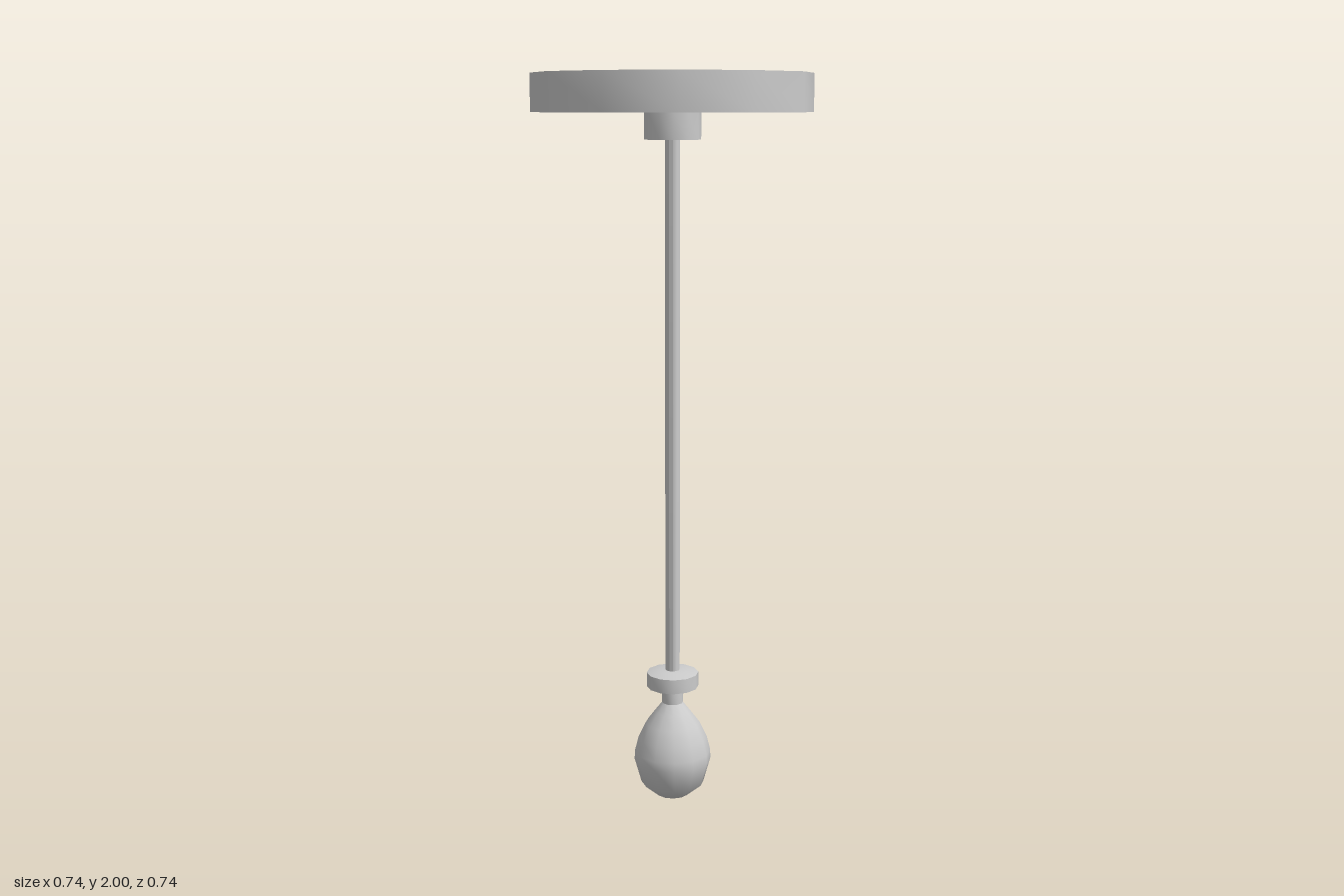
import * as THREE from 'three';
import { toCreasedNormals } from 'three/addons/utils/BufferGeometryUtils.js';

const SIDES = 12;

export function createModel() {
  const group = new THREE.Group();
  const material = new THREE.MeshStandardMaterial({ color: 0xcccccc, side: THREE.DoubleSide });

  // Turns a profile of [radius, height] points, listed bottom to top, around the y axis
  function addTurned(name, profile, crease = 0.7) {
    const points = profile.map(([r, y]) => new THREE.Vector2(r, y));
    const geometry = toCreasedNormals(new THREE.LatheGeometry(points, SIDES), crease);
    const mesh = new THREE.Mesh(geometry, material);
    mesh.name = name;
    group.add(mesh);
  }

  // Ceiling canopy: a thin dish open at the top, with a hole over the collar
  addTurned('canopy', [[0.075, 1.9], [0.37, 1.9], [0.37, 2]]);

  // Collar: a small cup under the canopy that holds the rod
  addTurned('collar', [[0, 1.83], [0.075, 1.83], [0.075, 1.9]]);

  // Hanging rod
  addTurned('rod', [[0.02, 0.375], [0.02, 1.832], [0, 1.832]]);

  // Socket disc with slightly sloped faces
  addTurned('socketDisc', [[0, 0.32], [0.03, 0.32], [0.072, 0.33], [0.072, 0.37], [0.04, 0.378], [0, 0.378]]);

  // Socket neck
  addTurned('socketNeck', [[0.029, 0.28], [0.029, 0.325]]);

  // Pear-shaped bulb
  addTurned('bulb', [
    [0, 0], [0.045, 0.012], [0.088, 0.048], [0.107, 0.115], [0.106, 0.14],
    [0.096, 0.18], [0.076, 0.222], [0.05, 0.256], [0.027, 0.285], [0, 0.285],
  ], 0.9);

  return group;
}
